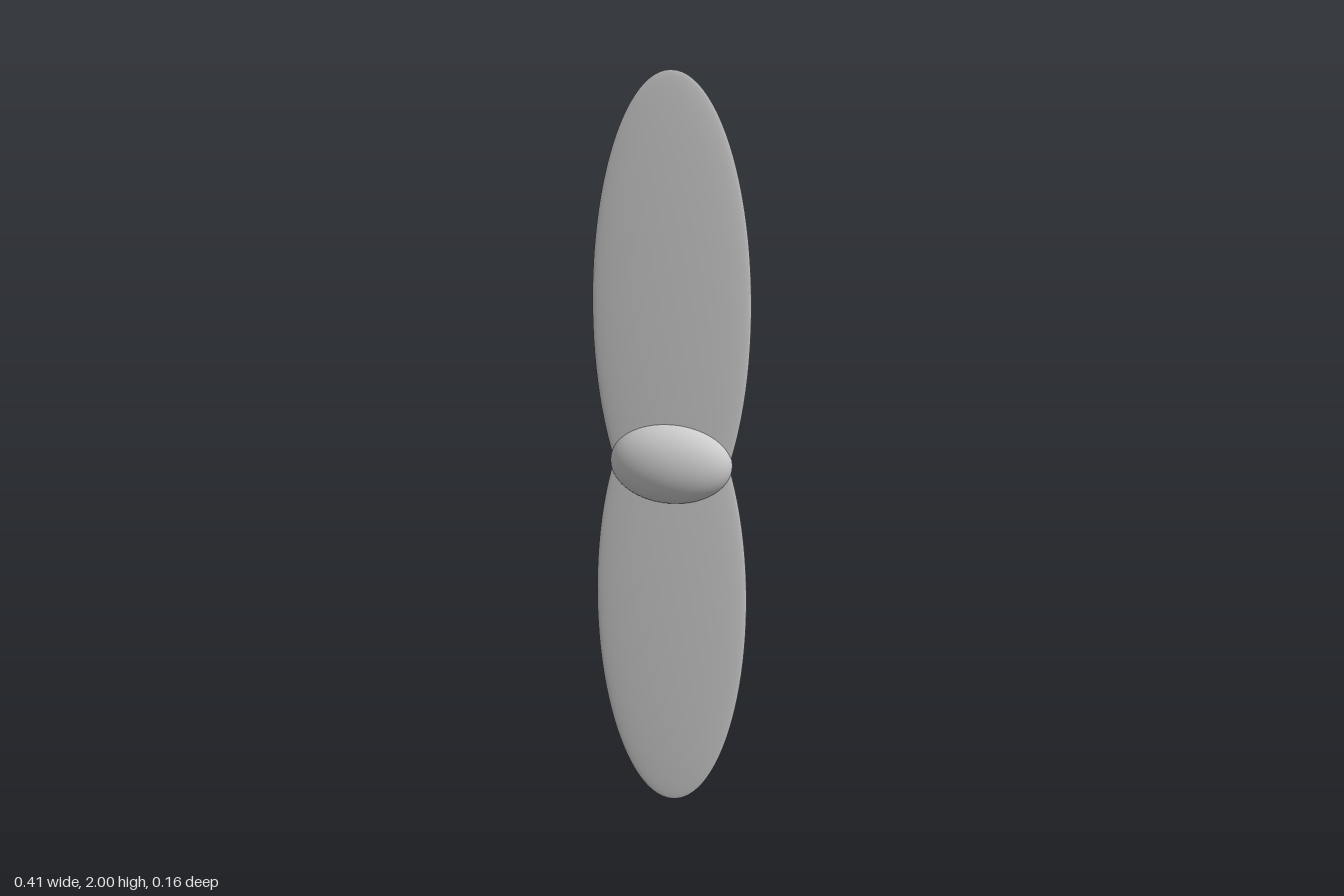
import * as THREE from 'three';

export function createModel() {
  const model = new THREE.Group();
  model.name = 'propeller';

  const grey = new THREE.MeshStandardMaterial({ color: 0xcccccc });
  grey.name = 'light grey';

  // Smooth ellipsoid with the given half sizes, centred at height y
  function ellipsoid(name, rx, ry, rz, y) {
    const geometry = new THREE.SphereGeometry(1, 64, 48);
    geometry.scale(rx, ry, rz);
    const mesh = new THREE.Mesh(geometry, grey);
    mesh.name = name;
    mesh.position.y = y;
    model.add(mesh);
  }

  // Two thin blades overlapping inside the hub
  ellipsoid('upperBlade', 0.207, 0.6, 0.016, 1.4);
  ellipsoid('lowerBlade', 0.207, 0.6, 0.016, 0.6);

  // Rounded hub
  ellipsoid('hub', 0.163, 0.11, 0.078, 1);

  return model;
}
